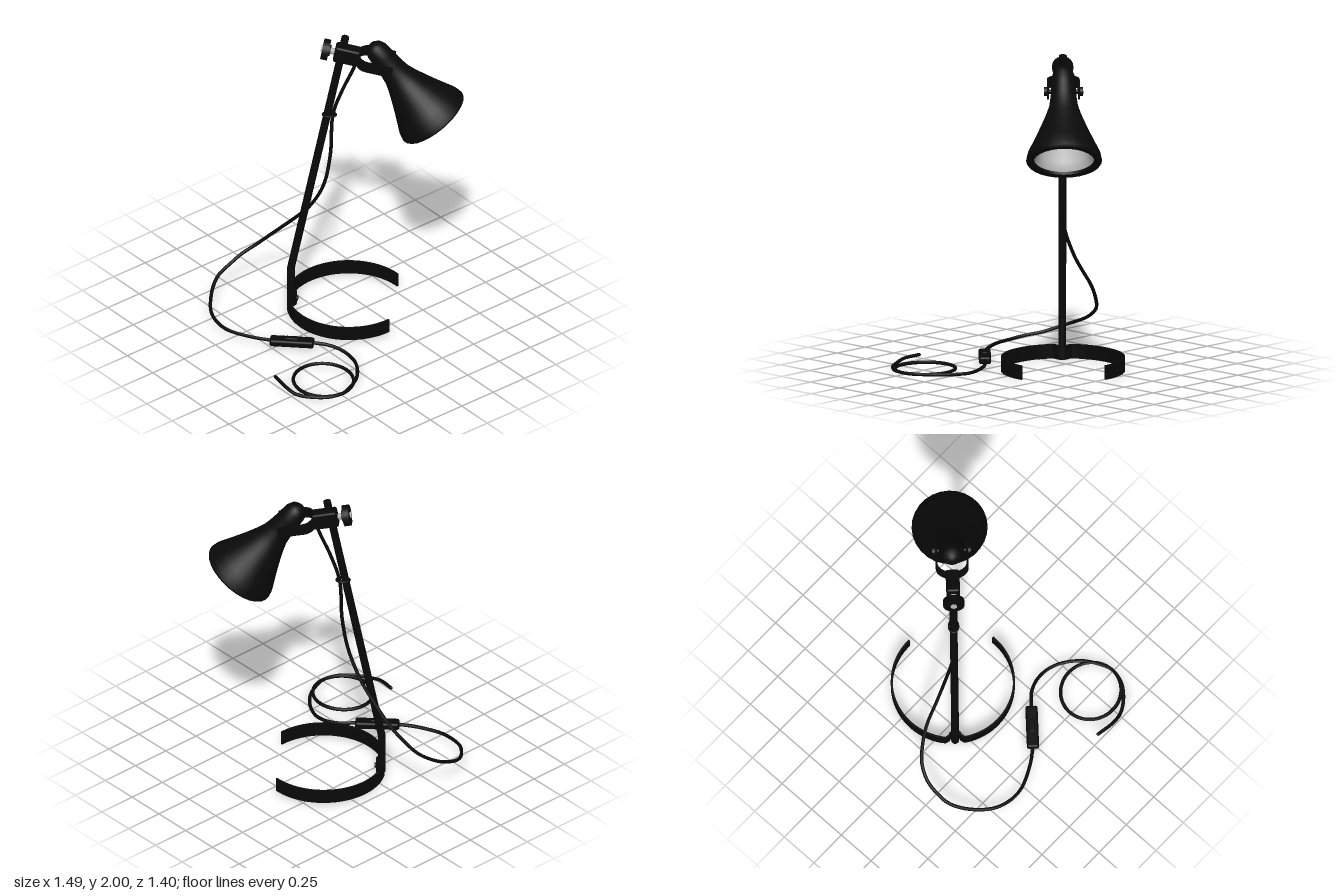
import * as THREE from 'three';
import { toCreasedNormals } from 'three/addons/utils/BufferGeometryUtils.js';
import { RoundedBoxGeometry } from 'three/addons/geometries/RoundedBoxGeometry.js';

const V = (x, y, z) => new THREE.Vector3(x, y, z);

function material(name, color) {
  const m = new THREE.MeshStandardMaterial({ color });
  m.name = name;
  return m;
}

function add(parent, name, geometry, mat, x = 0, y = 0, z = 0) {
  const mesh = new THREE.Mesh(geometry, mat);
  mesh.name = name;
  mesh.position.set(x, y, z);
  parent.add(mesh);
  return mesh;
}

// Cylinder between two points
function rod(parent, name, a, b, r, mat, sides = 20) {
  const mesh = add(parent, name, new THREE.CylinderGeometry(r, r, a.distanceTo(b), sides), mat);
  mesh.position.copy(a).lerp(b, 0.5);
  mesh.quaternion.setFromUnitVectors(V(0, 1, 0), b.clone().sub(a).normalize());
  return mesh;
}

// Flat metal band standing on edge, following a path in the x-z plane
function band(path, thickness, height) {
  const side = (sign) => path.map((p, i) => {
    const a = path[Math.max(i - 1, 0)], b = path[Math.min(i + 1, path.length - 1)];
    const n = new THREE.Vector2(a.y - b.y, b.x - a.x).normalize();
    return p.clone().addScaledVector(n, sign * thickness / 2);
  });
  const shape = new THREE.Shape([...side(1), ...side(-1).reverse()]);
  const g = new THREE.ExtrudeGeometry(shape, { depth: height, bevelEnabled: false });
  g.rotateX(Math.PI / 2).translate(0, height / 2, 0);
  return toCreasedNormals(g, 0.6);
}

function cable(parent, name, points, mat) {
  const curve = new THREE.CatmullRomCurve3(points);
  add(parent, name, new THREE.TubeGeometry(curve, points.length * 5, 0.011, 8), mat);
  for (const p of [points[0], points[points.length - 1]])
    add(parent, name + 'End', new THREE.SphereGeometry(0.011, 8, 6), mat, p.x, p.y, p.z);
}

export function createModel() {
  const model = new THREE.Group();
  model.name = 'deskLamp';
  const black = material('black', 0x090909);
  const reflectorGrey = material('reflectorGrey', 0xc0c0c0);
  const steel = material('steel', 0xb0b0b0);

  // Lamp body is symmetric about a diagonal: local +x is the way it faces
  const lamp = new THREE.Group();
  lamp.name = 'lamp';
  lamp.position.set(0.11, 0, -0.11);
  lamp.rotation.y = -Math.PI / 4;
  model.add(lamp);

  // Open ring base with a notch folded around the foot of the pole
  const half = [];
  for (let i = 0; i <= 32; i++) {
    const a = THREE.MathUtils.degToRad(43 + (128 * i) / 32);
    half.push(new THREE.Vector2(0.071 + 0.379 * Math.cos(a), 0.379 * Math.sin(a)));
  }
  half.push(new THREE.Vector2(-0.29, 0.038), new THREE.Vector2(-0.272, 0.029));
  half.push(new THREE.Vector2(-0.262, 0.015));
  const mirrored = half.map((p) => new THREE.Vector2(p.x, -p.y)).reverse();
  const ringPath = [...half, new THREE.Vector2(-0.259, 0), ...mirrored];
  add(lamp, 'ringBase', band(ringPath, 0.012, 0.09), black, 0, 0.055, 0);

  // Bent pole
  const bend = V(-0.29, 0.27, 0), top = V(0.05, 2, 0);
  rod(lamp, 'poleFoot', V(-0.29, 0.01, 0), bend, 0.024, black);
  rod(lamp, 'pole', bend, top, 0.024, black);
  add(lamp, 'poleBend', new THREE.SphereGeometry(0.024, 20, 12), black, bend.x, bend.y, 0);
  rod(lamp, 'footScrew', V(-0.265, 0.05, 0), V(-0.245, 0.05, 0), 0.015, black);

  // Clip holding the cord against the pole
  const clip = add(lamp, 'cordClip', new THREE.TorusGeometry(0.03, 0.006, 8, 20), black, -0.05, 1.42, 0);
  clip.rotation.x = Math.PI / 2;
  clip.scale.x = 1.35;

  // Sliding clamp, square to the pole
  const clamp = new THREE.Group();
  clamp.name = 'clamp';
  clamp.position.set(0.026, 1.88, 0);
  clamp.rotation.z = -0.194;
  lamp.add(clamp);
  add(clamp, 'clampBlock', new RoundedBoxGeometry(0.16, 0.11, 0.085, 3, 0.015), black, 0.035, 0, 0);
  rod(clamp, 'clampBolt', V(-0.13, 0, 0), V(-0.03, 0, 0), 0.02, steel);
  rod(clamp, 'knob', V(-0.122, 0, 0), V(-0.08, 0, 0), 0.066, black, 24);
  rod(clamp, 'knobHub', V(-0.085, 0, 0), V(-0.07, 0, 0), 0.035, black);

  // U-shaped bracket and its pivot
  const bracketPath = [new THREE.Vector2(0.33, 0.096)];
  for (let i = 0; i <= 16; i++) {
    const a = Math.PI / 2 + (Math.PI * i) / 16;
    bracketPath.push(new THREE.Vector2(0.17 + 0.07 * Math.cos(a), 0.096 * Math.sin(a)));
  }
  bracketPath.push(new THREE.Vector2(0.33, -0.096));
  add(clamp, 'bracket', band(bracketPath, 0.012, 0.07), black);
  rod(clamp, 'pivot', V(0.285, 0, -0.11), V(0.285, 0, 0.11), 0.014, black);
  for (const s of [-1, 1])
    rod(clamp, 'pivotNut', V(0.285, 0, s * 0.1), V(0.285, 0, s * 0.122), 0.028, black);

  // Shade: origin at the crown, opening along local -y
  const shade = new THREE.Group();
  shade.name = 'shade';
  shade.position.set(0.21, 1.96, 0);
  shade.rotation.z = 0.6435;
  lamp.add(shade);
  const lathe = (pts) => toCreasedNormals(
    new THREE.LatheGeometry(pts.map(([r, s]) => new THREE.Vector2(r, -s)), 28), 0.7);
  add(shade, 'shadeShell', lathe([
    [0.187, 0.63], [0.19, 0.648], [0.23, 0.65], [0.236, 0.64], [0.228, 0.6], [0.2, 0.54],
    [0.168, 0.47], [0.138, 0.4], [0.11, 0.33], [0.09, 0.27], [0.08, 0.2], [0.075, 0.12],
    [0.07, 0.06], [0.055, 0.025], [0.03, 0.006], [0, 0],
  ]), black);
  add(shade, 'reflector', lathe([
    [0, 0.3], [0.05, 0.32], [0.09, 0.38], [0.13, 0.47], [0.16, 0.58], [0.165, 0.6], [0.187, 0.63],
  ]), reflectorGrey);

  // Hanging cord, from the clamp down to the switch
  cable(model, 'upperCord', [
    V(0.19, 1.83, -0.02), V(0.175, 1.76, -0.04), V(0.13, 1.6, -0.09), V(0.095, 1.42, -0.135),
    V(0.078, 1.13, -0.14), V(0.055, 0.9, -0.175), V(0.035, 0.7, -0.28), V(0.015, 0.59, -0.37),
    V(-0.01, 0.47, -0.48), V(-0.05, 0.38, -0.56), V(-0.11, 0.29, -0.635), V(-0.19, 0.23, -0.68),
    V(-0.27, 0.185, -0.692), V(-0.37, 0.145, -0.685), V(-0.44, 0.115, -0.65),
    V(-0.52, 0.08, -0.58), V(-0.59, 0.06, -0.49), V(-0.622, 0.045, -0.39),
    V(-0.62, 0.04, -0.28), V(-0.55, 0.04, -0.12), V(-0.48, 0.04, -0.02),
  ], black);

  // Cord on the floor, with one loop and a loose end
  const approach = [[-0.3, 0.16], [-0.235, 0.23], [-0.2, 0.31], [-0.195, 0.4], [-0.22, 0.48],
    [-0.265, 0.55], [-0.33, 0.615], [-0.41, 0.66]];
  const loop = [];
  for (let i = 0; i <= 14; i++) {
    const a = Math.PI * (0.5 + (2 * i) / 14);
    loop.push([-0.492 + 0.184 * Math.cos(a), 0.495 + 0.192 * Math.sin(a)]);
  }
  const tail = [[-0.59, 0.665], [-0.675, 0.595], [-0.725, 0.515], [-0.74, 0.43], [-0.725, 0.31]];
  const floorY = (i, n) => (i < 3 ? 0.04 - i * 0.0095 : i > n - 3 ? 0.03 + (i - n + 2) * 0.008 : 0.012);
  const floor = [...approach, ...loop, ...tail];
  cable(model, 'floorCord', floor.map(([x, z], i) => V(x, floorY(i, floor.length), z)), black);

  // Inline switch
  const cordSwitch = new THREE.Group();
  cordSwitch.name = 'cordSwitch';
  cordSwitch.position.set(-0.395, 0.038, 0.065);
  cordSwitch.rotation.y = -Math.PI / 4;
  model.add(cordSwitch);
  add(cordSwitch, 'switchBody', new RoundedBoxGeometry(0.275, 0.046, 0.076, 3, 0.014), black);
  add(cordSwitch, 'switchButton', new RoundedBoxGeometry(0.08, 0.02, 0.035, 2, 0.006), black, 0, 0.024, 0);

  return model;
}
